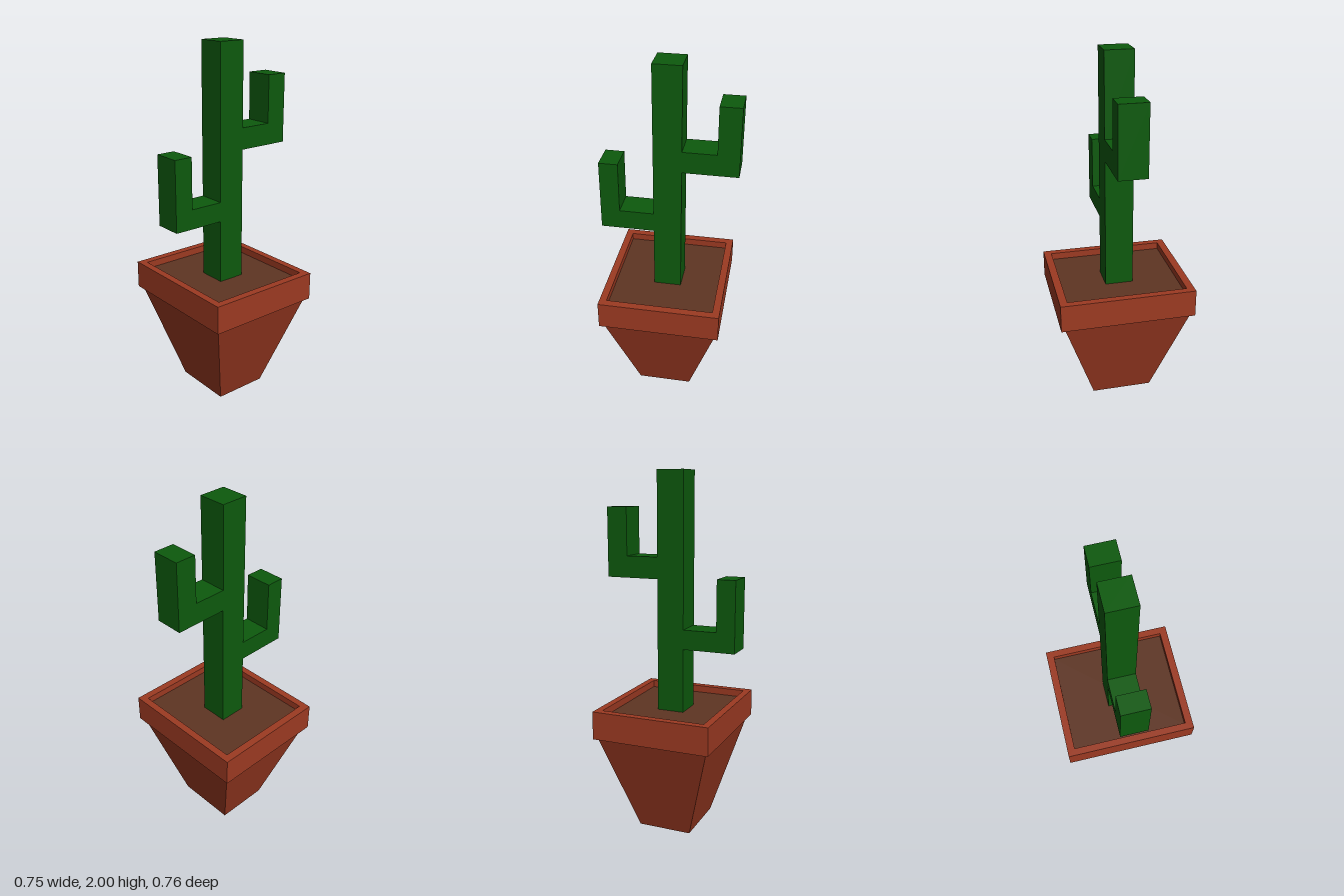
import * as THREE from 'three';

const mat = (name, color) => {
  const m = new THREE.MeshStandardMaterial({ color, flatShading: true });
  m.name = name;
  return m;
};

function rectPoints(x0, x1, y0, y1) {
  return [[x0, y0], [x1, y0], [x1, y1], [x0, y1]].map(([x, y]) => new THREE.Vector2(x, y));
}

export function createModel() {
  const terracotta = mat('terracotta', 0x9c3a22);
  const soilBrown = mat('soilBrown', 0x5e3523);
  const green = mat('cactusGreen', 0x0d5a0d);

  const group = new THREE.Group();
  group.name = 'pottedCactus';
  const add = (name, geometry, material, x = 0, y = 0, z = 0) => {
    const mesh = new THREE.Mesh(geometry, material);
    mesh.name = name;
    mesh.position.set(x, y, z);
    group.add(mesh);
  };
  const cx = -0.005;

  // Tapered four-sided pot: unit square frustum scaled to its top size
  const body = new THREE.CylinderGeometry(Math.SQRT2, Math.SQRT2 * 0.484, 0.56, 4)
    .rotateY(Math.PI / 4)
    .scale(0.315, 1, 0.355)
    .toNonIndexed();
  body.computeVertexNormals();
  add('potBody', body, terracotta, cx, 0.28, 0);

  // Square rim with an opening for the soil
  const rimShape = new THREE.Shape(rectPoints(-0.335, 0.335, -0.378, 0.378));
  rimShape.holes.push(new THREE.Path(rectPoints(-0.295, 0.295, -0.335, 0.335).reverse()));
  const rim = new THREE.ExtrudeGeometry(rimShape, { depth: 0.157, bevelEnabled: false })
    .rotateX(-Math.PI / 2);
  add('potRim', rim, terracotta, cx, 0.563, 0);

  // Soil, slightly below the rim
  add('soil', new THREE.BoxGeometry(0.59, 0.11, 0.67), soilBrown, cx, 0.625, 0);

  // Trunk and both bent arms share one outline
  const outline = [
    [-0.08, 0.67], [0.073, 0.67],
    [0.073, 1.42], [0.373, 1.42], [0.373, 1.805], [0.256, 1.805], [0.256, 1.54], [0.073, 1.54],
    [0.073, 2], [-0.08, 2],
    [-0.08, 1.15], [-0.27, 1.15], [-0.27, 1.435], [-0.375, 1.435], [-0.375, 1.04], [-0.08, 1.04],
  ].map(([x, y]) => new THREE.Vector2(x, y));
  const cactus = new THREE.ExtrudeGeometry(new THREE.Shape(outline), { depth: 0.158, bevelEnabled: false });
  add('cactus', cactus, green, 0, 0, -0.08);

  return group;
}
